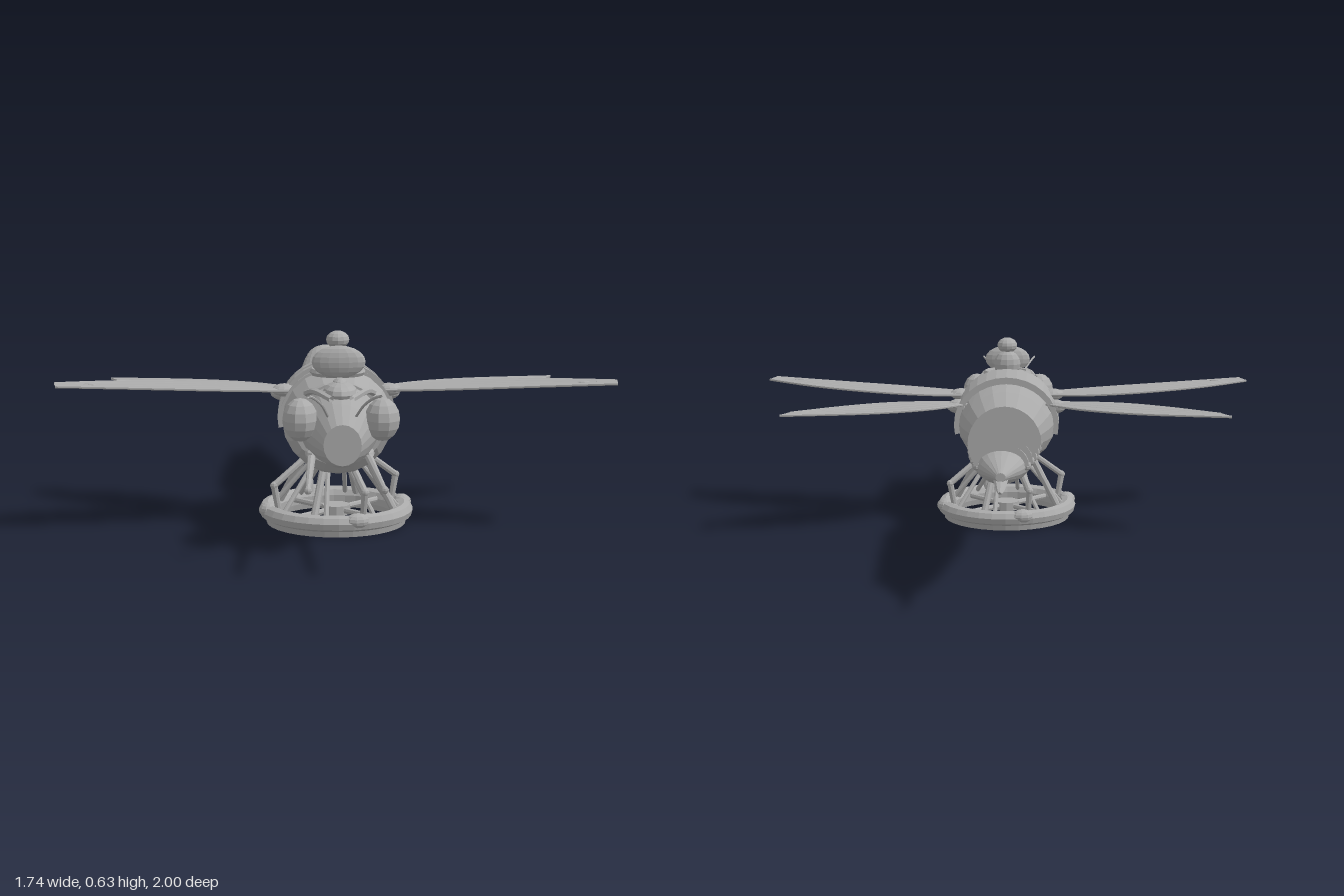
import * as THREE from 'three';

const V = (x, y, z) => new THREE.Vector3(x, y, z);

export function createModel() {
  const grey = new THREE.MeshStandardMaterial({ color: 0xaaaaaa, flatShading: true, side: THREE.DoubleSide });
  grey.name = 'grey';
  const model = new THREE.Group();
  model.name = 'dragonflyCraft';

  const add = (name, geo, parent = model) => {
    const mesh = new THREE.Mesh(geo, grey);
    mesh.name = name;
    parent.add(mesh);
    return mesh;
  };
  const ball = (name, p, s, parent, w = 12, h = 8) => {
    const mesh = add(name, new THREE.SphereGeometry(1, w, h), parent);
    mesh.position.set(...p);
    mesh.scale.set(...s);
    return mesh;
  };
  const tube = (name, pts, r, parent, steps = 12) =>
    add(name, new THREE.TubeGeometry(new THREE.CatmullRomCurve3(pts), steps, r, 6), parent);
  // Tapered straight rod
  const rod = (name, a, b, ra, rb, parent) => {
    const d = b.clone().sub(a);
    const mesh = add(name, new THREE.CylinderGeometry(rb, ra, d.length(), 8), parent);
    mesh.position.copy(a).addScaledVector(d, 0.5);
    mesh.quaternion.setFromUnitVectors(V(0, 1, 0), d.normalize());
    return mesh;
  };
  // Skin over elliptical sections [z, centreY, radiusX, radiusY], front to back
  const loft = (name, sections, n = 20, from = 0, to = Math.PI * 2) => {
    const pos = [], idx = [];
    sections.forEach(([z, cy, rx, ry], i) => {
      for (let j = 0; j <= n; j++) {
        const t = from + (to - from) * j / n;
        pos.push(rx * Math.cos(t), cy + ry * Math.sin(t), z);
        if (i < sections.length - 1 && j < n) {
          const a = i * (n + 1) + j, c = a + n + 1;
          idx.push(a, c, a + 1, a + 1, c, c + 1);
        }
      }
    });
    const geo = new THREE.BufferGeometry();
    geo.setAttribute('position', new THREE.Float32BufferAttribute(pos, 3));
    geo.setIndex(idx);
    geo.computeVertexNormals();
    return add(name, geo);
  };

  // Hull: head, thorax, waist
  loft('body', [
    [0.75, 0.335, 0, 0], [0.75, 0.335, 0.055, 0.06], [0.68, 0.35, 0.085, 0.095],
    [0.61, 0.365, 0.11, 0.12], [0.53, 0.36, 0.125, 0.12], [0.53, 0.36, 0.14, 0.125],
    [0.49, 0.345, 0.15, 0.14], [0.44, 0.345, 0.163, 0.155], [0.4, 0.35, 0.172, 0.163],
    [0.3, 0.35, 0.175, 0.163], [0.2, 0.35, 0.172, 0.155], [0.13, 0.342, 0.15, 0.13],
    [0.06, 0.332, 0.118, 0.1], [0, 0.33, 0.1, 0.086], [-0.06, 0.335, 0.094, 0.084],
    [-0.13, 0.34, 0.1, 0.09],
  ]);
  // Tapering tail core
  loft('tailCore', [
    [-0.13, 0.34, 0.1, 0.09], [-0.22, 0.343, 0.105, 0.093], [-0.32, 0.352, 0.104, 0.085],
    [-0.43, 0.362, 0.098, 0.077], [-0.54, 0.37, 0.09, 0.067], [-0.65, 0.378, 0.08, 0.055],
    [-0.74, 0.384, 0.062, 0.044], [-0.85, 0.384, 0.014, 0.013], [-0.85, 0.384, 0, 0],
  ]);
  // Overlapping tail plates, flared at the rear
  const ends = [-0.05, -0.19, -0.3, -0.42, -0.53, -0.645, -0.745];
  for (let i = 0; i < 6; i++) {
    const k = i / 5, w = 0.121 - 0.042 * k * (0.5 + 0.5 * k), h = 0.127 - 0.062 * k;
    const cy = 0.347 + 0.048 * k;
    loft('tailPlate', [
      [ends[i] + 0.015, cy, w * 0.86, h * 0.62], [ends[i + 1], cy, w, h],
      [ends[i + 1], cy, w * 0.85, h * 0.68],
    ], 14, 0, Math.PI);
    // Side studs below each plate
    for (const s of [-1, 1])
      ball('tailStud', [s * w * 0.93, cy - 0.01, ends[i] - 0.05], [0.012, 0.014, 0.014], model, 8, 6);
  }
  // Curved stinger
  const stingPath = new THREE.CatmullRomCurve3([V(0, 0.378, -0.8), V(0, 0.36, -0.87), V(0, 0.36, -0.94), V(0, 0.378, -1)]);
  const sting = [];
  for (let i = 0; i <= 8; i++) {
    const p = stingPath.getPoint(i / 8), r = 0.024 * (1 - i / 8) ** 1.2;
    sting.push([p.z, p.y, r, r * 0.55]);
  }
  loft('stinger', sting, 8);

  // Raised armour bands over the thorax
  const band = (z0, z1, g, a) => loft('thoraxBand', [
    [z0, 0.35, 0.168, 0.155], [z0, 0.35, 0.175 + g, 0.163 + g],
    [z1, 0.35, 0.173 + g, 0.158 + g], [z1, 0.35, 0.165, 0.145],
  ], 18, -a, Math.PI + a);
  band(0.4, 0.35, 0.006, 0.1);
  band(0.325, 0.245, 0.012, 0.2);
  band(0.235, 0.155, 0.01, 0.2);

  // Bonnet in front of the seat
  ball('bonnet', [0, 0.465, 0.58], [0.052, 0.032, 0.09]);
  ball('bonnetRidge', [0, 0.478, 0.56], [0.026, 0.028, 0.06]);
  // Cockpit rim, round shield and seated pilot
  const rim = add('cockpitRim', new THREE.TorusGeometry(0.075, 0.012, 6, 20));
  rim.rotation.x = Math.PI / 2;
  rim.position.set(0, 0.502, 0.385);
  ball('shield', [0, 0.542, 0.47], [0.082, 0.05, 0.028], model, 16, 10);
  ball('pilotBody', [0, 0.535, 0.385], [0.048, 0.05, 0.04]);
  ball('pilotHead', [0, 0.602, 0.395], [0.036, 0.028, 0.042]);

  // Paired head parts
  for (const s of [-1, 1]) {
    ball('eye', [s * 0.12, 0.396, 0.658], [0.052, 0.064, 0.066], model, 10, 8);
    tube('brow', [V(s * 0.03, 0.46, 0.69), V(s * 0.075, 0.475, 0.63), V(s * 0.1, 0.46, 0.56)], 0.01);
    tube('antenna', [V(s * 0.04, 0.41, 0.7), V(s * 0.06, 0.455, 0.77), V(s * 0.085, 0.485, 0.83), V(s * 0.1, 0.497, 0.88)], 0.004);
    rod('gunBarrel', V(s * 0.082, 0.272, 0.5), V(s * 0.104, 0.257, 0.99), 0.014, 0.007);
    ball('gunMuzzle', [s * 0.104, 0.257, 0.988], [0.011, 0.011, 0.012], model, 8, 6);
    ball('gunMount', [s * 0.085, 0.275, 0.55], [0.02, 0.02, 0.06], model, 8, 6);
  }

  // Thin ribbed wing from leading and trailing edges given as [x, z]
  const wing = (name, lead, trail, y0, slope, parent) => {
    const curve = pts => new THREE.CatmullRomCurve3(pts.map(([x, z]) => V(x, y0 + slope * (x - 0.17), z)));
    const L = curve(lead), T = curve(trail);
    const outline = [...L.getPoints(16), ...T.getPoints(16).reverse()];
    const geo = new THREE.ExtrudeGeometry(new THREE.Shape(outline.map(p => new THREE.Vector2(p.x, p.z))), { depth: 0.006, bevelEnabled: false });
    geo.rotateX(Math.PI / 2);
    const p = geo.attributes.position;
    for (let i = 0; i < p.count; i++) p.setY(i, p.getY(i) + 0.003 + y0 + slope * (p.getX(i) - 0.17));
    geo.computeVertexNormals();
    add(name, geo, parent);
    for (const f of [0, 0.27, 0.5, 0.73, 1]) {
      const pts = [];
      for (let i = 0; i <= 10; i++) {
        const t = i / 10 * (f % 1 ? 0.93 : 1);
        pts.push(L.getPoint(t).lerp(T.getPoint(t), f));
      }
      tube('wingRib', pts, 0.0045, parent, 16);
    }
  };
  for (const s of [1, -1]) {
    const side = new THREE.Group();
    side.name = s > 0 ? 'leftWings' : 'rightWings';
    side.scale.x = s;
    model.add(side);
    wing('frontWing',
      [[0.12, 0.29], [0.25, 0.245], [0.39, 0.238], [0.55, 0.265], [0.71, 0.32], [0.868, 0.41]],
      [[0.12, 0.35], [0.34, 0.4], [0.55, 0.43], [0.855, 0.475]], 0.438, 0.048, side);
    wing('rearWing',
      [[0.12, 0.19], [0.26, 0.065], [0.44, -0.015], [0.752, -0.07]],
      [[0.12, 0.225], [0.39, 0.195], [0.55, 0.115], [0.725, -0.015]], 0.421, 0, side);
    ball('wingTipWeight', [0.76, 0.467, 0.425], [0.022, 0.008, 0.01], side, 8, 6);
    ball('frontWingSocket', [0.165, 0.435, 0.315], [0.04, 0.02, 0.045], side);
    ball('rearWingSocket', [0.17, 0.41, 0.2], [0.04, 0.025, 0.035], side);
  }

  // Landing ring with spokes, pods and bent struts
  const gear = new THREE.Group();
  gear.name = 'landingGear';
  gear.position.z = 0.267;
  model.add(gear);
  const ring = [[0.19, 0.02], [0.195, 0], [0.224, 0], [0.228, 0.018], [0.243, 0.026], [0.248, 0.045],
    [0.238, 0.062], [0.22, 0.068], [0.2, 0.06], [0.19, 0.042], [0.19, 0.02]];
  add('landingRing', new THREE.LatheGeometry(ring.map(p => new THREE.Vector2(...p)), 32), gear);
  const hub = add('hub', new THREE.CylinderGeometry(0.045, 0.045, 0.03, 12), gear);
  hub.position.y = 0.04;
  const at = (a, r, y) => V(Math.sin(a) * r, y, Math.cos(a) * r);
  for (let i = 0; i < 4; i++) {
    const a = Math.PI * (15 / 180 + i / 2);
    const pod = ball('ringPod', at(a, 0.225, 0.05).toArray(), [0.04, 0.024, 0.03], gear, 10, 8);
    pod.rotation.y = a;
    rod('spoke', at(a + 0.5, 0, 0.04), at(a + 0.5, 0.2, 0.04), 0.01, 0.01, gear);
  }
  for (let i = 0; i < 8; i++) {
    const a = Math.PI * (i + 0.5) / 4;
    if (i % 2) {
      rod('strut', at(a, 0.1, 0.22), at(a, 0.195, 0.055), 0.012, 0.012, gear);
    } else {
      const knee = at(a, 0.215, 0.135);
      rod('upperStrut', at(a, 0.1, 0.22), knee, 0.011, 0.011, gear);
      rod('lowerStrut', knee, at(a, 0.2, 0.055), 0.011, 0.01, gear);
      ball('knee', knee.toArray(), [0.013, 0.013, 0.013], gear, 8, 6);
    }
    rod('innerStrut', at(a, 0.07, 0.21), at(a + 0.2, 0.2, 0.055), 0.008, 0.008, gear);
  }
  return model;
}
